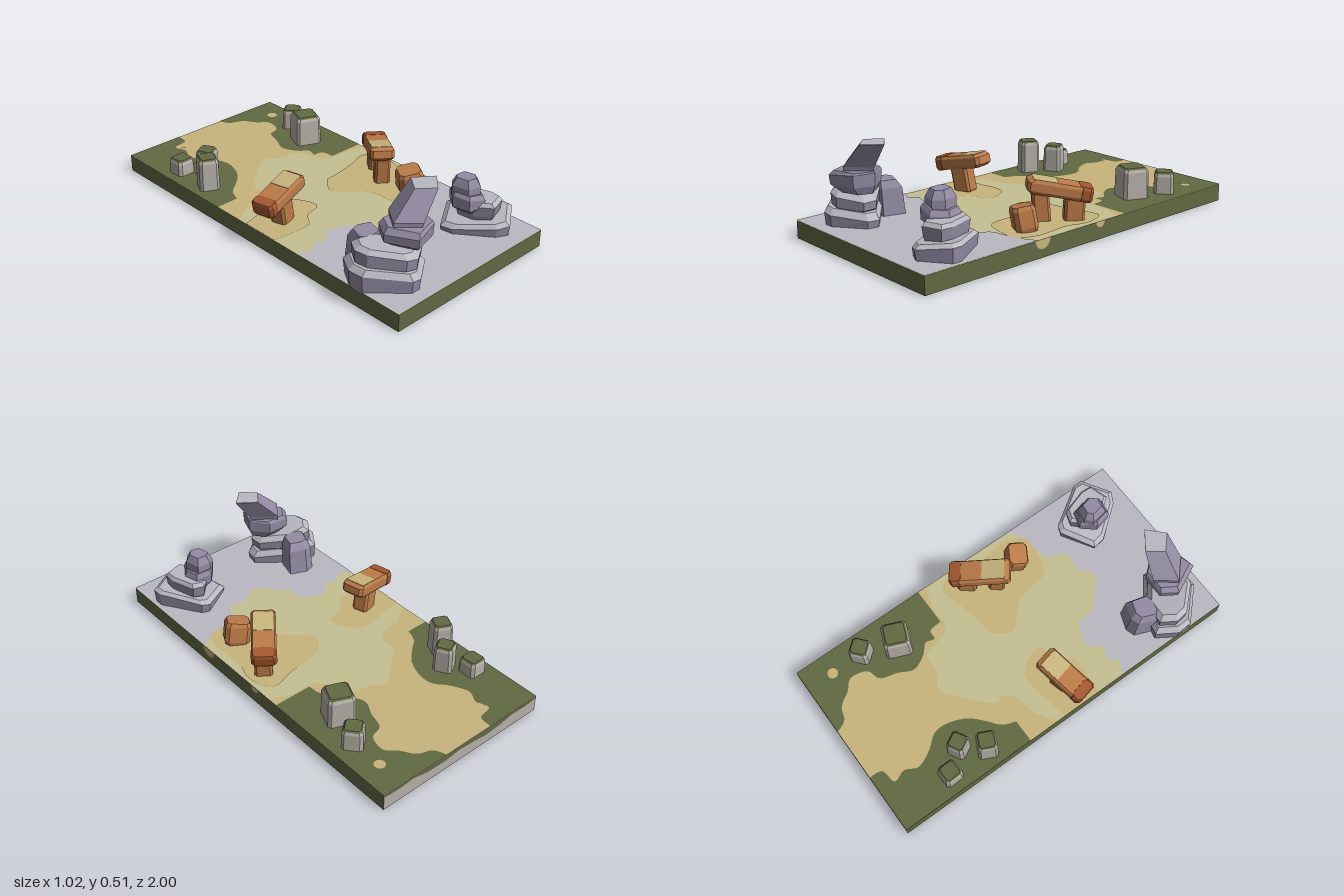
import * as THREE from 'three';

const mat = (name, color) => Object.assign(new THREE.MeshStandardMaterial({ color }), { name });

export function createModel() {
  const moss = mat('mossGreen', 0x626942), sand = mat('sand', 0xc8b57d);
  const pale = mat('paleSand', 0xc6c094), ash = mat('lavenderGrey', 0xbab9c2);
  const slate = mat('purpleSlate', 0x938ca4), stone = mat('warmStone', 0xb5b0a8);
  const orange = mat('orangeRock', 0xbc7b48), rust = mat('rustRock', 0xa4572f);
  const root = new THREE.Group();
  const GY = 0.09; // ground height
  const add = (name, geo, material, parent = root) => {
    const m = new THREE.Mesh(geo, material);
    m.name = name;
    parent.add(m);
    return m;
  };

  // Faceted stone: a footprint [x, z] carried through levels [y, scale, dx, dz, slopeX, slopeZ].
  // Material 0 covers the sides, material 1 the last bevel and the top.
  function loft(foot, levels) {
    const n = foot.length;
    const area = foot.reduce((s, p, i) => {
      const q = foot[(i + 1) % n];
      return s + p[0] * q[1] - q[0] * p[1];
    }, 0);
    const pts = area > 0 ? foot : [...foot].reverse();
    const cx = pts.reduce((s, p) => s + p[0], 0) / n, cz = pts.reduce((s, p) => s + p[1], 0) / n;
    const rings = levels.map(([y, k, dx = 0, dz = 0, sx = 0, sz = 0]) => pts.map(([x, z]) => {
      const u = (x - cx) * k, v = (z - cz) * k;
      return [cx + u + dx, y + u * sx + v * sz, cz + v + dz];
    }));
    const mid = r => [0, 1, 2].map(a => r.reduce((s, p) => s + p[a], 0) / n);
    const pos = [], geo = new THREE.BufferGeometry();
    let bevelStart = 0;
    const last = rings.length - 1, lo = mid(rings[0]), hi = mid(rings[last]);
    for (let i = 0; i < n; i++) pos.push(...lo, ...rings[0][i], ...rings[0][(i + 1) % n]);
    for (let l = 0; l < last; l++) {
      if (l === last - 1) bevelStart = pos.length / 3;
      for (let i = 0; i < n; i++) {
        const j = (i + 1) % n, a = rings[l][i], b = rings[l][j], c = rings[l + 1][i], d = rings[l + 1][j];
        pos.push(...a, ...c, ...b, ...b, ...c, ...d);
      }
    }
    for (let i = 0; i < n; i++) pos.push(...hi, ...rings[last][(i + 1) % n], ...rings[last][i]);
    geo.setAttribute('position', new THREE.Float32BufferAttribute(pos, 3));
    geo.computeVertexNormals();
    geo.addGroup(0, bevelStart, 0);
    geo.addGroup(bevelStart, pos.length / 3 - bevelStart, 1);
    return geo;
  }
  // Rectangle with cut corners
  const cutRect = (w, d, c) => [[-w, -d + c], [-w + c, -d], [w - c, -d], [w, -d + c],
    [w, d - c], [w - c, d], [-w + c, d], [-w, d - c]];
  // Chamfered block centred on its own origin
  const block = (l, h, w, c = 0.015) => loft(cutRect(l / 2, w / 2, c),
    [[-h / 2, 0.88], [-h / 2 + c, 1], [h / 2 - c, 1], [h / 2, 0.86]]);

  // Ground slab
  const base = add('ground', new THREE.BoxGeometry(1, GY, 2), [moss, moss, pale, moss, moss, stone]);
  base.position.set(0.007, GY / 2, 0);

  // Painted ground areas: a smooth edge, closed by straight corners
  let layer = 0;
  const patch = (name, material, edge, corners = []) => {
    const v = edge.map(([x, z]) => new THREE.Vector2(x, -z));
    const line = new THREE.SplineCurve(v).getPoints(edge.length * 4);
    const shape = new THREE.Shape([...line, ...corners.map(([x, z]) => new THREE.Vector2(x, -z))]);
    const m = add(name, new THREE.ShapeGeometry(shape).rotateX(-Math.PI / 2), material);
    m.position.y = GY + 0.0008 * ++layer;
  };
  const L = -0.493, R = 0.507;
  patch('sandPath', sand, [[L, -0.07], [-0.38, -0.14], [-0.28, -0.16], [-0.22, -0.21], [-0.22, -0.28],
    [-0.1, -0.39], [0, -0.46], [0.08, -0.42], [0.19, -0.4], [0.22, -0.31], [0.27, -0.23], [0.38, -0.23],
    [R, -0.19]], [[R, -1], [L, -1]]);
  patch('leftMoss', moss, [[-0.17, -1], [-0.18, -0.93], [-0.26, -0.91], [-0.24, -0.84], [-0.27, -0.77],
    [-0.23, -0.68], [-0.175, -0.61], [-0.17, -0.53], [-0.21, -0.43], [-0.28, -0.36], [-0.34, -0.31],
    [-0.37, -0.24]], [[L, -0.24], [L, -1]]);
  patch('rightMoss', moss, [[0.12, -1], [0.15, -0.94], [0.22, -0.91], [0.27, -0.84], [0.32, -0.79],
    [0.3, -0.7], [0.23, -0.67], [0.2, -0.58], [0.165, -0.5], [0.2, -0.42], [0.25, -0.37], [0.24, -0.32],
    [0.29, -0.31], [0.3, -0.24]], [[R, -0.24], [R, -1]]);
  patch('ashGround', ash, [[L, 0.35], [-0.42, 0.38], [-0.38, 0.34], [-0.31, 0.36], [-0.26, 0.3], [-0.18, 0.32],
    [-0.13, 0.35], [-0.12, 0.44], [-0.05, 0.51], [0.03, 0.58], [0.11, 0.52], [0.21, 0.53], [0.27, 0.43],
    [0.35, 0.41], [0.43, 0.39], [R, 0.35]], [[R, 1], [L, 1]]);
  patch('leftSandSpot', sand, [[L, -0.02], [-0.35, -0.05], [-0.2, -0.06], [-0.13, 0.03], [-0.13, 0.1],
    [-0.22, 0.13], [-0.28, 0.2], [-0.4, 0.2], [L, 0.19]]);
  patch('rightSandSpot', sand, [[0.1, -0.07], [0.2, -0.08], [0.3, -0.1], [0.44, -0.13], [0.49, 0], [0.46, 0.12],
    [0.47, 0.3], [0.42, 0.4], [0.3, 0.4], [0.19, 0.35], [0.17, 0.2], [0.12, 0.13], [0.03, 0.03], [0.1, -0.07]]);
  for (const [x, z, r] of [[0.395, -0.85, 0.028], [0.285, -0.765, 0.032], [-0.235, -0.87, 0.012]]) {
    add('sandDot', new THREE.CircleGeometry(r, 14).rotateX(-Math.PI / 2), sand).position.set(x, GY + 0.005, z);
  }
  // Sand spilling over the side
  for (const [z, r] of [[0.315, 0.047], [-0.07, 0.03]]) {
    const m = add('sandSpill', new THREE.CircleGeometry(r, 16, Math.PI, Math.PI), sand);
    m.rotation.y = Math.PI / 2;
    m.position.set(R + 0.001, GY, z);
  }
  // Ragged moss edge along the back
  const fringe = new THREE.Shape([[-0.5, 0.09], [-0.5, 0.078], [-0.4, 0.072], [-0.32, 0.08], [-0.24, 0.06],
    [-0.12, 0.055], [-0.03, 0.068], [0.06, 0.062], [0.15, 0.05], [0.24, 0.058], [0.33, 0.075], [0.42, 0.07],
    [0.5, 0.08], [0.5, 0.09]].map(p => new THREE.Vector2(...p)));
  const edge = add('mossFringe', new THREE.ShapeGeometry(fringe), moss);
  edge.rotation.y = Math.PI;
  edge.position.set(0.007, 0, -1.001);

  // Leaning slate stack
  const leaning = new THREE.Group();
  leaning.name = 'leaningStack';
  root.add(leaning);
  add('bottomSlab', loft([[-0.505, 0.7], [-0.44, 0.6], [-0.3, 0.63], [-0.13, 0.77], [-0.14, 0.83], [-0.29, 0.94],
    [-0.34, 0.94], [-0.5, 0.78]], [[GY, 0.96], [0.155, 1, 0, 0, -0.13], [0.185, 0.86, 0, 0, -0.13]]), [slate, ash], leaning);
  add('middleSlab', loft([[-0.47, 0.7], [-0.42, 0.63], [-0.3, 0.64], [-0.165, 0.76], [-0.165, 0.83], [-0.28, 0.91],
    [-0.34, 0.9], [-0.46, 0.77]], [[0.165, 0.88], [0.19, 0.97, 0, 0, -0.1], [0.243, 1, 0, 0, -0.17],
    [0.268, 0.8, 0, 0, -0.16]]), [slate, ash], leaning);
  add('upperSlab', loft([[-0.37, 0.78], [-0.32, 0.7], [-0.2, 0.7], [-0.125, 0.79], [-0.16, 0.89], [-0.3, 0.93]],
    [[0.26, 0.65, 0.02], [0.3, 0.97], [0.352, 1, 0, 0, 0.1], [0.37, 0.88, 0.01]]), [slate, slate], leaning);
  const spire = loft([[-0.2, 0.8], [-0.14, 0.72], [-0.045, 0.79], [-0.125, 0.87]],
    [[0.335, 1.15, -0.12], [0.39, 1.3, -0.11], [0.513, 1.01], [0.515, 1]]);
  add('spire', spire, [slate, ash], leaning);
  add('sideBoulder', loft([[-0.4, 0.63], [-0.36, 0.53], [-0.31, 0.515], [-0.22, 0.55], [-0.25, 0.66], [-0.35, 0.68]],
    [[GY, 1], [0.23, 0.93, 0, 0.01], [0.268, 0.7, 0, 0.02]]), [slate, slate], leaning);

  // Small slate stack
  const cairn = new THREE.Group();
  cairn.name = 'smallStack';
  root.add(cairn);
  add('bottomSlab', loft([[0.15, 0.665], [0.32, 0.56], [0.36, 0.575], [0.49, 0.78], [0.49, 0.83], [0.35, 0.93],
    [0.29, 0.9], [0.16, 0.73]], [[GY, 0.96], [0.142, 1, 0, 0, 0.14], [0.16, 0.86, 0, 0, 0.14]]), [slate, ash], cairn);
  add('middleSlab', loft([[0.24, 0.68], [0.31, 0.61], [0.37, 0.63], [0.415, 0.77], [0.41, 0.83], [0.31, 0.86],
    [0.25, 0.78]], [[0.135, 0.8], [0.175, 0.93], [0.228, 1], [0.247, 0.85]]), [slate, ash], cairn);
  add('upperSlab', loft([[0.19, 0.7], [0.25, 0.63], [0.33, 0.65], [0.35, 0.73], [0.3, 0.81], [0.21, 0.79]],
    [[0.19, 0.75, 0.02], [0.22, 0.97], [0.265, 1, 0, 0, -0.2], [0.288, 0.85, 0, 0, -0.15]]), [slate, slate], cairn);
  add('topStone', loft([[0.205, 0.68], [0.24, 0.65], [0.31, 0.66], [0.33, 0.74], [0.29, 0.785], [0.22, 0.77]],
    [[0.25, 0.85], [0.275, 1], [0.325, 1], [0.365, 0.68]]), [slate, slate], cairn);

  // Orange table rocks: a tilted slab with a sandy end, a rusty end and legs
  const table = (name, x, z, length, turn, tilt, sandEnd, legs) => {
    const g = new THREE.Group(), slab = new THREE.Group();
    g.name = name;
    slab.name = 'tableSlab';
    slab.position.set(x, 0.247, z);
    slab.rotation.set(0, turn, tilt, 'YXZ');
    root.add(g);
    g.add(slab);
    add('slab', block(length, 0.07, 0.125), [orange, orange], slab);
    add('sandyTop', new THREE.BoxGeometry(length * 0.38, 0.004, 0.105), sand, slab)
      .position.set(sandEnd * length * 0.235, 0.035, 0);
    add('rustyEnd', block(length * 0.22, 0.073, 0.128), [rust, rust], slab)
      .position.x = -sandEnd * length * 0.395;
    for (const [lx, lz, w, d, h, ry, rz] of legs) {
      const leg = add('leg', block(w, h, d, 0.012), [orange, rust], g);
      leg.position.set(lx, GY + h / 2 - 0.008, lz);
      leg.rotation.set(0, ry, rz, 'YXZ');
    }
  };
  table('leftTable', 0.347, 0.055, 0.32, 0.92, -0.19, -1,
    [[0.3, 0.13, 0.085, 0.08, 0.15, 0.9, 0.08], [0.395, 0, 0.1, 0.09, 0.12, 0.9, -0.05]]);
  table('rightTable', -0.355, 0.07, 0.29, 0.22, 0.2, 1, [[-0.345, 0.075, 0.1, 0.085, 0.15, 0.3, 0.2]]);
  const boulder = add('orangeBoulder', block(0.13, 0.125, 0.11, 0.02), [orange, orange]);
  boulder.position.set(0.345, 0.146, 0.285);
  boulder.rotation.set(0.15, -0.5, 0.15, 'YXZ');

  // Square stone posts with mossy tops: x, z, width, top, turn
  for (const [x, z, w, top, turn] of [[-0.395, -0.665, 0.1, 0.175, 0.03], [-0.31, -0.555, 0.095, 0.235, 0.5],
    [-0.395, -0.44, 0.1, 0.265, -0.45], [0.395, -0.67, 0.1, 0.205, 0.7], [0.33, -0.49, 0.135, 0.253, -0.4]]) {
    const g = new THREE.Group(), h = top - GY, r = w / 2;
    g.name = 'stonePost';
    g.position.set(x, GY, z);
    g.rotation.y = turn;
    root.add(g);
    add('post', loft(cutRect(r, r, 0.014), [[0, 1.04], [h - 0.022, 1], [h - 0.008, 0.9], [h, 0.78]]), [stone, moss], g);
  }
  return root;
}
